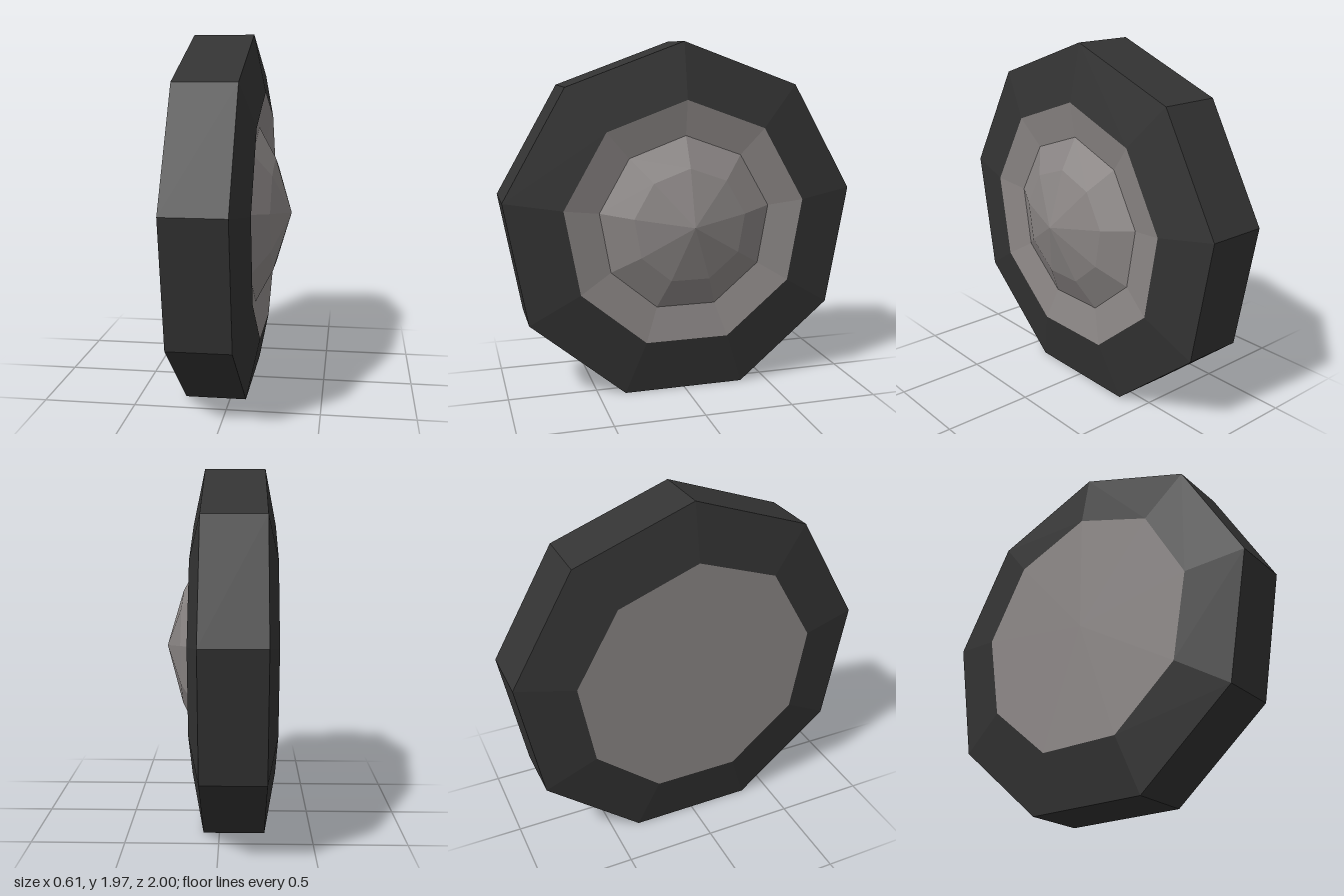
import * as THREE from 'three';

const SIDES = 9;
const PIVOT_Y = 0.985; // all rings scale about the axle point
const RADIUS = 1 / Math.sin((80 * Math.PI) / 180);

// Corner k of a nine-sided ring at position x along the axle, at the given scale
function corner(x, scale, k) {
  const a = (k * 2 * Math.PI) / SIDES;
  return [
    x,
    PIVOT_Y + scale * (RADIUS * Math.cos(a) - 0.031),
    scale * RADIUS * Math.sin(a),
  ];
}

// Faceted skin through [x, scale] rings, running outward from -x to +x
function ringSkin(profile) {
  const pos = [];
  for (let i = 0; i < profile.length - 1; i++) {
    const [x0, s0] = profile[i];
    const [x1, s1] = profile[i + 1];
    for (let k = 0; k < SIDES; k++) {
      const a = corner(x0, s0, k), b = corner(x0, s0, k + 1);
      const c = corner(x1, s1, k), d = corner(x1, s1, k + 1);
      if (s0 > 0) pos.push(...a, ...b, ...c);
      if (s1 > 0) pos.push(...b, ...d, ...c);
    }
  }
  const geo = new THREE.BufferGeometry();
  geo.setAttribute('position', new THREE.Float32BufferAttribute(pos, 3));
  geo.computeVertexNormals();
  return geo;
}

export function createModel() {
  const rubber = new THREE.MeshStandardMaterial({ color: 0x333333, flatShading: true });
  rubber.name = 'darkRubber';
  const metal = new THREE.MeshStandardMaterial({ color: 0x8b8685, flatShading: true });
  metal.name = 'greyMetal';

  const wheel = new THREE.Group();
  wheel.name = 'wheel';
  const add = (name, material, profile) => {
    const mesh = new THREE.Mesh(ringSkin(profile), material);
    mesh.name = name;
    wheel.add(mesh);
  };

  // Tyre: tread with bevelled sidewalls
  add('tyre', rubber, [[-0.305, 0.685], [-0.245, 1], [0.087, 1], [0.152, 0.685]]);
  // Flat inner face
  add('backPlate', metal, [[-0.305, 0], [-0.305, 0.685]]);
  // Shallow recessed rim on the outer face
  add('rimDish', metal, [[0.152, 0.685], [0.118, 0.487]]);
  // Pointed hub cap
  add('hubCap', metal, [[0.118, 0.487], [0.21, 0.315], [0.303, 0]]);

  return wheel;
}
